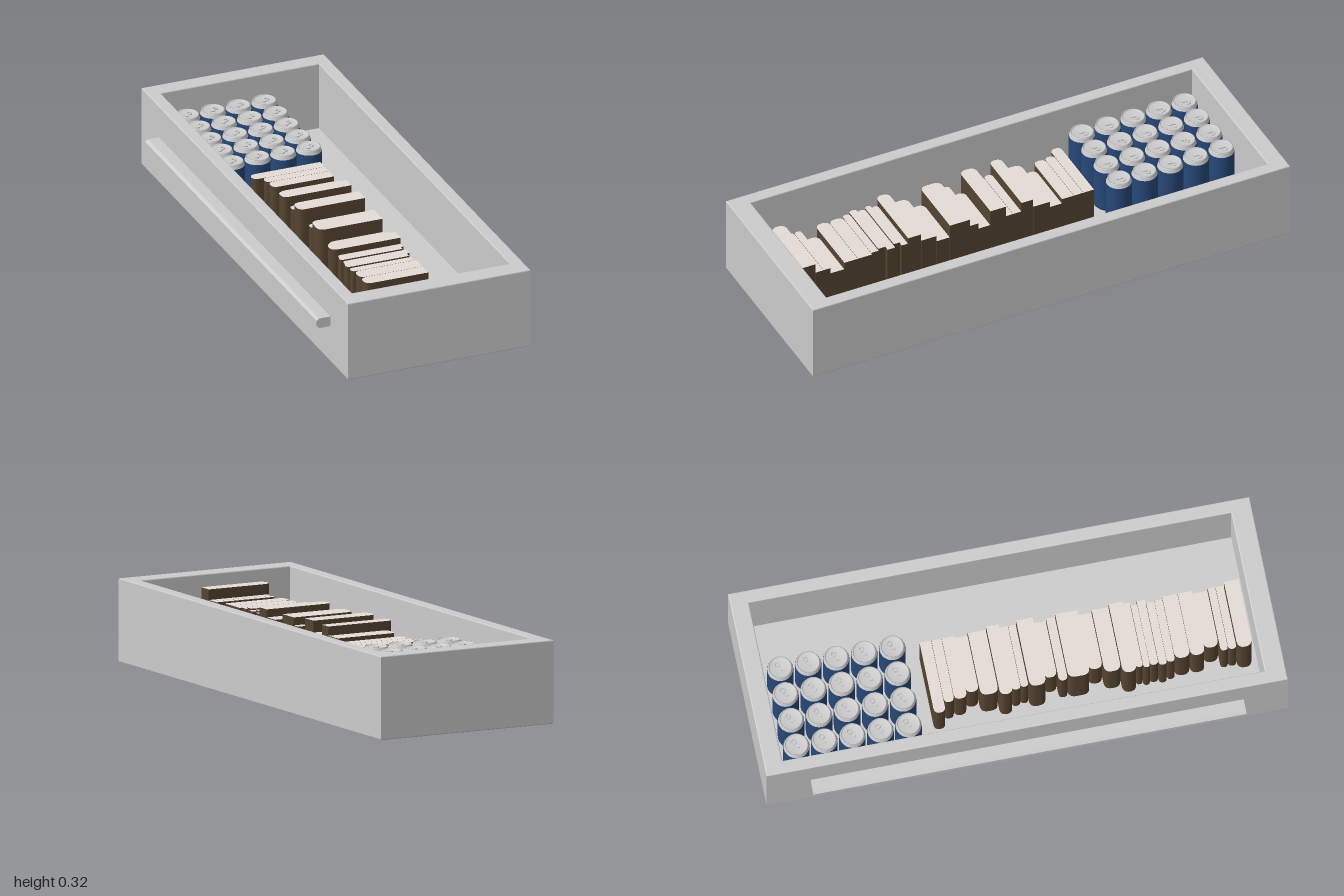
import * as THREE from 'three';

const mat = (color) => new THREE.MeshStandardMaterial({ color });
const grey = mat(0xcccccc);
const blue = mat(0x264878);
const cover = mat(0x554430);
const paper = mat(0xe4dcd6);
const FLOOR = 0.05;

function add(parent, name, geometry, material) {
  const mesh = new THREE.Mesh(geometry, material);
  mesh.name = name;
  parent.add(mesh);
  return mesh;
}

// Closed rectangle in plan; the shape's y axis is -z
function rectPoints(x0, x1, z0, z1) {
  return [[x0, -z1], [x1, -z1], [x1, -z0], [x0, -z0]].map((p) => new THREE.Vector2(...p));
}

// Open box with slightly softened edges
function makeTray() {
  const tray = new THREE.Group();
  tray.name = 'tray';
  const b = 0.004;
  const frame = new THREE.Shape(rectPoints(-0.345, 0.4, -1, 1));
  frame.holes.push(new THREE.Path(rectPoints(-0.295, 0.35, -0.93, 0.92).reverse()));
  const walls = new THREE.ExtrudeGeometry(frame, {
    depth: 0.32 - 2 * b, bevelThickness: b, bevelSize: b, bevelOffset: -b, bevelSegments: 2,
  });
  walls.rotateX(-Math.PI / 2).translate(0, b, 0);
  add(tray, 'walls', walls, grey);
  const floor = new THREE.BoxGeometry(0.665, FLOOR, 1.87);
  add(tray, 'floor', floor, grey).position.set(0.0275, FLOOR / 2, -0.005);
  return tray;
}

// Long bar with chamfered outer edges along the side
function makeHandle() {
  const section = new THREE.Shape([
    [-0.34, 0.15], [-0.34, 0.19], [-0.391, 0.19], [-0.402, 0.182], [-0.402, 0.16], [-0.391, 0.15],
  ].map((p) => new THREE.Vector2(...p)));
  const bar = new THREE.ExtrudeGeometry(section, { depth: 1.66, bevelEnabled: false });
  return new THREE.Mesh(bar.translate(0, 0, -0.83), grey);
}

// Drinks can: painted body, necked metal lid with rim and pull tab
const lathe = (pts) => new THREE.LatheGeometry(pts.map((p) => new THREE.Vector2(...p)), 28);
const canBody = lathe([[0, 0], [0.04, 0], [0.049, 0.01], [0.05, 0.014], [0.05, 0.178], [0.049, 0.183]]);
const canLid = lathe([[0.049, 0.183], [0.044, 0.196], [0.044, 0.2], [0.041, 0.2], [0.039, 0.193], [0, 0.193]]);
const tabRing = new THREE.TorusGeometry(0.009, 0.0025, 6, 16).rotateX(Math.PI / 2);
const tabPlate = new THREE.CylinderGeometry(0.009, 0.009, 0.004, 16);

function makeCan(x, z) {
  const can = new THREE.Group();
  can.name = 'can';
  add(can, 'canBody', canBody, blue);
  add(can, 'canLid', canLid, grey);
  add(can, 'tabRing', tabRing, grey).position.set(0.012, 0.195, -0.009);
  add(can, 'tabPlate', tabPlate, grey).position.set(-0.004, 0.195, 0.003);
  can.position.set(x, FLOOR, z);
  return can;
}

// Upright book with a rounded spine towards -x: paper top, dark cover around it
function makeBook(x0, x1, z0, z1, top) {
  const t = z1 - z0;
  const r = Math.min(t / 2, 0.028);
  const s = new THREE.Shape();
  s.moveTo(x0 + r, -z1);
  s.lineTo(x1, -z1);
  s.lineTo(x1, -z0);
  s.lineTo(x0 + r, -z0);
  s.quadraticCurveTo(x0, -z0, x0, -z0 - r);
  s.lineTo(x0, -z1 + r);
  s.quadraticCurveTo(x0, -z1, x0 + r, -z1);
  const g = new THREE.ExtrudeGeometry(s, { depth: top - FLOOR, bevelEnabled: false, curveSegments: 6 });
  return new THREE.Mesh(g.rotateX(-Math.PI / 2).translate(0, FLOOR, 0), [paper, cover]);
}

// [end z, spine x, top y] for each book from back to front
const BOOKS = [
  [-0.28, -0.19, 0.23], [-0.24, -0.155, 0.23], [-0.19, -0.15, 0.23], [-0.14, -0.125, 0.21],
  [-0.07, -0.155, 0.235], [-0.02, -0.18, 0.27], [0.015, -0.155, 0.23], [0.045, -0.15, 0.23],
  [0.11, -0.17, 0.275], [0.16, -0.125, 0.21], [0.195, -0.155, 0.235], [0.28, -0.16, 0.265],
  [0.335, -0.125, 0.21], [0.4, -0.155, 0.235], [0.455, -0.182, 0.265], [0.482, -0.16, 0.24],
  [0.508, -0.168, 0.245, 0.085], [0.541, -0.162, 0.24], [0.573, -0.17, 0.245, 0.085],
  [0.605, -0.162, 0.24, 0.09], [0.665, -0.155, 0.24], [0.722, -0.155, 0.24],
  [0.78, -0.125, 0.21], [0.81, -0.155, 0.235], [0.842, -0.155, 0.235], [0.9, -0.17, 0.275],
];

export function createModel() {
  const model = new THREE.Group();
  model.name = 'drawer';
  model.add(makeTray());

  const handle = makeHandle();
  handle.name = 'handle';
  model.add(handle);

  // Grid of cans at the back
  const cans = new THREE.Group();
  cans.name = 'cans';
  for (let i = 0; i < 4; i++) {
    for (let j = 0; j < 5; j++) cans.add(makeCan(-0.217 + i * 0.105, -0.86 + j * 0.1075));
  }
  model.add(cans);

  // Row of books filling the rest of the length
  const books = new THREE.Group();
  books.name = 'books';
  let z = -0.325;
  for (const [end, spine, top, edge = 0.1] of BOOKS) {
    const book = makeBook(spine, edge, z, end - 0.001, top);
    book.name = 'book';
    books.add(book);
    z = end;
  }
  model.add(books);
  return model;
}
